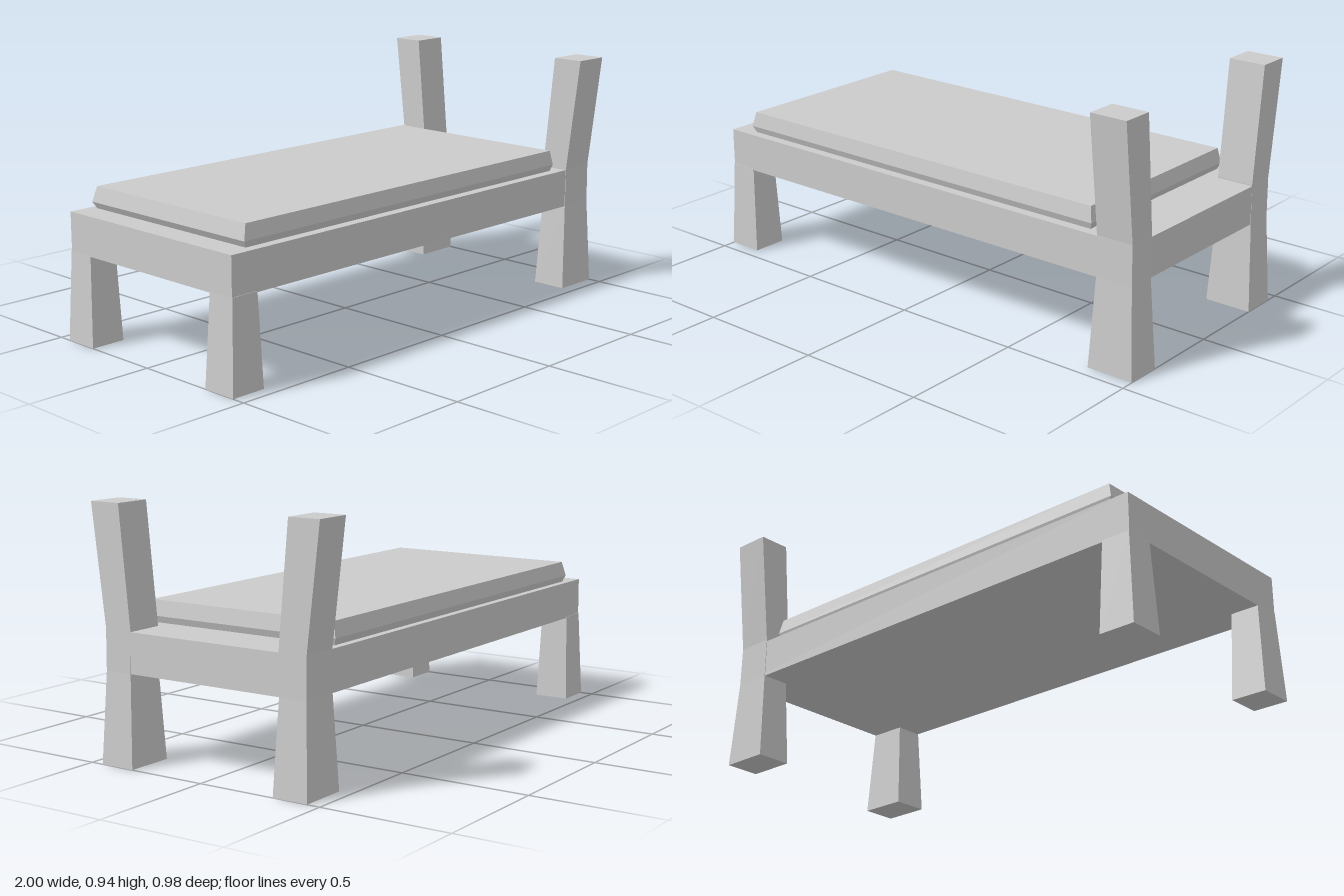
import * as THREE from 'three';

const material = new THREE.MeshStandardMaterial({ color: 0xcccccc, flatShading: true });

// Solid lofted through rectangles, listed bottom to top as [y, xMin, xMax, zMin, zMax]
function loft(name, sections) {
  const positions = [];
  const index = [];
  for (const [y, x0, x1, z0, z1] of sections) {
    positions.push(x0, y, z1, x1, y, z1, x1, y, z0, x0, y, z0);
  }
  for (let s = 0; s < sections.length - 1; s++) {
    for (let i = 0; i < 4; i++) {
      const a = s * 4 + i;
      const b = s * 4 + ((i + 1) % 4);
      index.push(a, b, b + 4, a, b + 4, a + 4);
    }
  }
  const t = (sections.length - 1) * 4;
  index.push(0, 2, 1, 0, 3, 2, t, t + 1, t + 2, t, t + 2, t + 3);
  const indexed = new THREE.BufferGeometry();
  indexed.setAttribute('position', new THREE.Float32BufferAttribute(positions, 3));
  indexed.setIndex(index);
  const geometry = indexed.toNonIndexed();
  geometry.computeVertexNormals();
  const mesh = new THREE.Mesh(geometry, material);
  mesh.name = name;
  return mesh;
}

// Same section on the front (+1) or back (-1) side
function onSide(side, sections) {
  return sections.map(([y, x0, x1, inner, outer]) =>
    side > 0 ? [y, x0, x1, inner, outer] : [y, x0, x1, -outer, -inner]);
}

export function createModel() {
  const group = new THREE.Group();
  group.name = 'bed';

  // Solid base slab
  group.add(loft('frame', [
    [0.34, -0.985, 0.978, -0.434, 0.434],
    [0.49, -0.985, 0.978, -0.434, 0.434],
  ]));

  // Mattress, widest a little above its base and tapering to the top
  group.add(loft('mattress', [
    [0.488, -0.885, 0.775, -0.405, 0.395],
    [0.515, -0.9, 0.785, -0.415, 0.405],
    [0.573, -0.885, 0.775, -0.403, 0.395],
  ]));

  for (const side of [1, -1]) {
    const place = side > 0 ? 'front' : 'back';
    // Short flared leg at the foot end
    group.add(loft(place + 'FootLeg', onSide(side, [
      [0, -1, -0.86, 0.309, 0.449],
      [0.345, -0.985, -0.872, 0.324, 0.436],
    ])));
    // Head leg running up into a post that leans outward
    group.add(loft(place + 'HeadPost', onSide(side, [
      [0, 0.814, 1, 0.309, 0.449],
      [0.34, 0.832, 0.98, 0.324, 0.436],
      [0.495, 0.832, 0.978, 0.322, 0.436],
      [0.94, 0.832, 0.978, 0.365, 0.491],
    ])));
  }
  return group;
}
